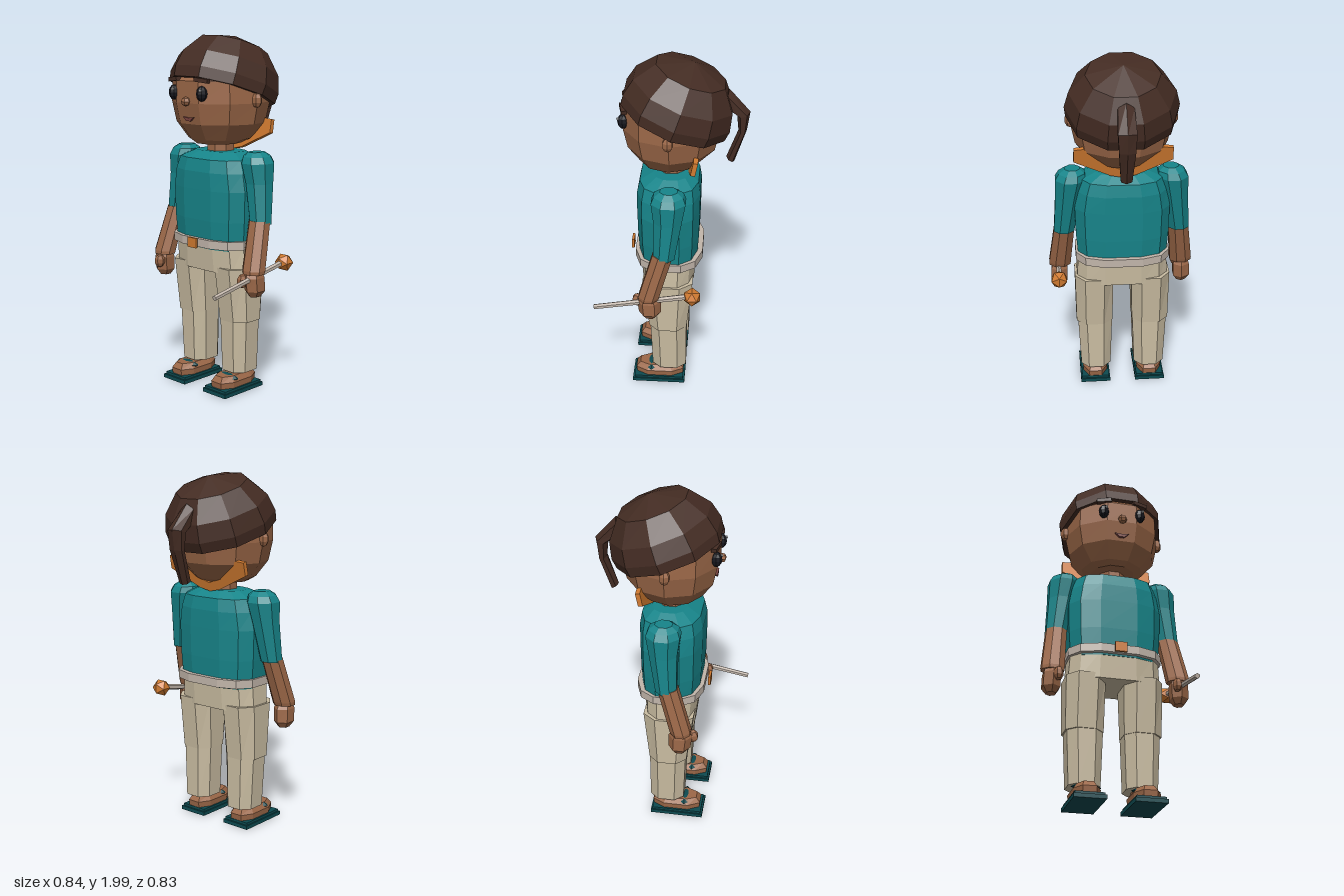
import * as THREE from 'three';

const COLORS = {
  skin: 0x9c6848, hair: 0x442c23, teal: 0x17858a, sole: 0x0d4a50, pants: 0xcabda2,
  belt: 0xc2b6ab, orange: 0xd07a30, eye: 0x17181f, glint: 0xd8d8d8, mouth: 0x7c4440,
};
const mats = {};
for (const k in COLORS) {
  mats[k] = new THREE.MeshStandardMaterial({ color: COLORS[k], flatShading: true });
}

// Closed skin over rings of points, listed bottom to top, each counter-clockwise from above
function skin(rings) {
  const n = rings[0].length, pos = [], idx = [];
  rings.forEach(r => r.forEach(p => pos.push(...p)));
  for (let j = 0; j < rings.length - 1; j++) {
    for (let i = 0; i < n; i++) {
      const a = j * n + i, b = j * n + (i + 1) % n;
      idx.push(a, b, b + n, a, b + n, a + n);
    }
  }
  const last = (rings.length - 1) * n;
  for (let i = 1; i < n - 1; i++) idx.push(0, i + 1, i, last, last + i, last + i + 1);
  const g = new THREE.BufferGeometry();
  g.setAttribute('position', new THREE.Float32BufferAttribute(pos, 3));
  g.setIndex(idx);
  g.computeVertexNormals();
  return g;
}

// Rows of [y, radiusX, radiusZ, centreX, centreZ]; power below 1 squares the section
function loft(rows, sides = 8, power = 1, turn = 0.5) {
  const bend = v => Math.sign(v) * Math.abs(v) ** power;
  return skin(rows.map(([y, rx, rz, cx = 0, cz = 0]) =>
    Array.from({ length: sides }, (_, i) => {
      const a = (i + turn) / sides * Math.PI * 2;
      return [cx + rx * bend(Math.cos(a)), y, cz - rz * bend(Math.sin(a))];
    })));
}

export function createModel() {
  const model = new THREE.Group();
  model.name = 'figure';
  const add = (name, geo, mat, x = 0, y = 0, z = 0) => {
    const m = new THREE.Mesh(geo, mats[mat]);
    m.name = name;
    m.position.set(x, y, z);
    model.add(m);
    return m;
  };
  const ball = (name, mat, r, p, sides = 8, rings = 6) => {
    const m = add(name, new THREE.SphereGeometry(1, sides, rings), mat, ...p);
    m.scale.set(...r);
    return m;
  };

  // Head and neck
  add('head', loft([[1.4, 0.13, 0.13, 0, 0.02], [1.425, 0.18, 0.17, 0, 0.01], [1.515, 0.255, 0.245],
    [1.63, 0.28, 0.27], [1.75, 0.275, 0.27], [1.83, 0.22, 0.22, 0, -0.02], [1.9, 0.13, 0.13, 0, -0.04]],
    10, 1, 0), 'skin');
  add('neck', loft([[1.3, 0.08, 0.08], [1.45, 0.08, 0.08]]), 'skin');

  // Hair cap, tipped backwards
  const hair = add('hair', loft([[-0.03, 0.305, 0.305], [0.03, 0.312, 0.312], [0.125, 0.288, 0.288],
    [0.237, 0.2, 0.2], [0.295, 0.002, 0.002]], 10, 1, 0), 'hair', 0, 1.705, -0.02);
  hair.rotation.x = -0.345;

  // Ponytail rows: inner z, y, outer z, y, half width
  const tail = [[-0.295, 1.435, -0.34, 1.41, 0.035], [-0.355, 1.6, -0.4, 1.6, 0.05],
    [-0.345, 1.69, -0.415, 1.71, 0.057], [-0.27, 1.73, -0.3, 1.84, 0.05]];
  add('ponytail', skin(tail.map(([zi, yi, zo, yo, w]) => Array.from({ length: 6 }, (_, i) => {
    const a = (i + 0.5) * Math.PI / 3, s = Math.sin(a) / 2;
    return [w * Math.cos(a), (yi + yo) / 2 + s * (yo - yi), (zi + zo) / 2 + s * (zo - zi)];
  }))), 'hair');

  // Nose and mouth
  ball('nose', 'skin', [0.027, 0.026, 0.027], [0, 1.64, 0.268], 6, 4);
  const lips = new THREE.Shape([[-0.04, 0.008], [-0.015, -0.014], [0.015, -0.014], [0.04, 0.008], [0, 0.004]]
    .map(p => new THREE.Vector2(...p)));
  add('mouth', new THREE.ExtrudeGeometry(lips, { depth: 0.03, bevelEnabled: false }), 'mouth', 0, 1.547, 0.222);

  // Flared collar behind the neck
  const half = [[0.07, 1.365], [0.27, 1.46], [0.268, 1.535], [0.215, 1.54], [0.06, 1.42]];
  const collar = new THREE.Shape([[0, 1.35], ...half, [0, 1.4], ...half.slice().reverse().map(([x, y]) => [-x, y])]
    .map(([x, y]) => new THREE.Vector2(x, y - 1.35)));
  add('collar', new THREE.ExtrudeGeometry(collar, { depth: 0.025, bevelEnabled: false }),
    'orange', 0, 1.35, -0.115).rotation.x = -0.2;

  // Shirt, belt and hips
  add('shirt', loft([[0.82, 0.255, 0.165, 0, 0.012], [0.98, 0.268, 0.175, 0, 0.013], [1.15, 0.273, 0.178, 0, 0.013],
    [1.25, 0.255, 0.178, 0, 0.012], [1.32, 0.23, 0.165, 0, 0.01], [1.357, 0.15, 0.1]], 12, 0.7), 'teal');
  add('belt', loft([[0.83, 0.272, 0.195, 0, 0.01], [0.877, 0.272, 0.195, 0, 0.01]], 12, 0.7), 'belt');
  add('buckle', new THREE.BoxGeometry(0.066, 0.056, 0.014), 'orange', 0, 0.855, 0.222);
  add('hips', loft([[0.69, 0.268, 0.15, 0, 0.013], [0.84, 0.258, 0.16, 0, 0.015]], 12, 0.7), 'pants');

  // Mirrored parts
  for (const s of [1, -1]) {
    const side = s > 0 ? 'left' : 'right';
    ball(side + 'Eye', 'eye', [0.031, 0.042, 0.03], [0.107 * s, 1.685, 0.252]);
    ball(side + 'EyeGlint', 'glint', [0.009, 0.009, 0.009], [0.107 * s + 0.011, 1.703, 0.277], 5, 4);
    add(side + 'Brow', new THREE.BoxGeometry(0.085, 0.022, 0.03), 'hair', 0.105 * s, 1.757, 0.25)
      .rotation.set(0, 0.22 * s, -0.1 * s);
    ball(side + 'Ear', 'skin', [0.03, 0.042, 0.03], [0.28 * s, 1.648, 0.005], 6, 5);

    // Arm
    add(side + 'Sleeve', loft([[0.98, 0.062, 0.062, 0.328 * s, 0.022], [1.2, 0.078, 0.082, 0.3 * s, 0.003],
      [1.31, 0.092, 0.1, 0.285 * s, 0], [1.345, 0.078, 0.085, 0.278 * s, 0], [1.368, 0.045, 0.05, 0.275 * s, 0]]), 'teal');
    add(side + 'Forearm', loft([[0.72, 0.066, 0.058, 0.355 * s, 0.108], [0.74, 0.068, 0.062, 0.355 * s, 0.104],
      [1.0, 0.062, 0.06, 0.326 * s, 0.028]]), 'skin');
    add(side + 'Hand', loft([[0.592, 0.03, 0.035, 0.36 * s, 0.1], [0.625, 0.054, 0.062, 0.361 * s, 0.1],
      [0.7, 0.054, 0.066, 0.359 * s, 0.105], [0.735, 0.045, 0.045, 0.357 * s, 0.107]], 6), 'skin');
    ball(side + 'Thumb', 'skin', [0.027, 0.04, 0.034], [0.333 * s, 0.685, 0.17], 6, 5);

    // Leg
    add(side + 'Thigh', loft([[0.41, 0.112, 0.115, 0.163 * s, 0.01], [0.72, 0.118, 0.152, 0.162 * s, 0.013]], 8, 0.8), 'pants');
    add(side + 'Shin', loft([[0.11, 0.093, 0.105, 0.158 * s, 0.003], [0.43, 0.107, 0.112, 0.16 * s, 0.008]], 8, 0.8), 'pants');

    // Foot and sandal
    add(side + 'Foot', loft([[0.03, 0.075, 0.145, 0.162 * s, 0.06], [0.07, 0.078, 0.15, 0.162 * s, 0.06],
      [0.1, 0.055, 0.125, 0.162 * s, 0.06]], 8, 0.75), 'skin');
    add(side + 'Ankle', loft([[0.08, 0.05, 0.055, 0.16 * s], [0.15, 0.05, 0.055, 0.16 * s]]), 'skin');
    add(side + 'Sole', new THREE.BoxGeometry(0.175, 0.022, 0.31), 'sole', 0.163 * s, 0.011, 0.065);
    add(side + 'Insole', new THREE.BoxGeometry(0.16, 0.014, 0.29), 'sole', 0.163 * s, 0.029, 0.065);
    ball(side + 'Strap', 'sole', [0.083, 0.019, 0.034], [0.162 * s, 0.085, 0.11], 8, 4);
  }

  // Wand held in the left hand
  const start = new THREE.Vector3(0.363, 0.643, 0.415), end = new THREE.Vector3(0.365, 0.742, -0.11);
  const rod = add('wandRod', new THREE.CylinderGeometry(0.017, 0.015, start.distanceTo(end), 6), 'belt');
  rod.position.copy(start).lerp(end, 0.5);
  rod.quaternion.setFromUnitVectors(new THREE.Vector3(0, 1, 0), end.clone().sub(start).normalize());
  add('wandTip', new THREE.IcosahedronGeometry(0.052, 0), 'orange', 0.365, 0.742, -0.135);

  return model;
}
